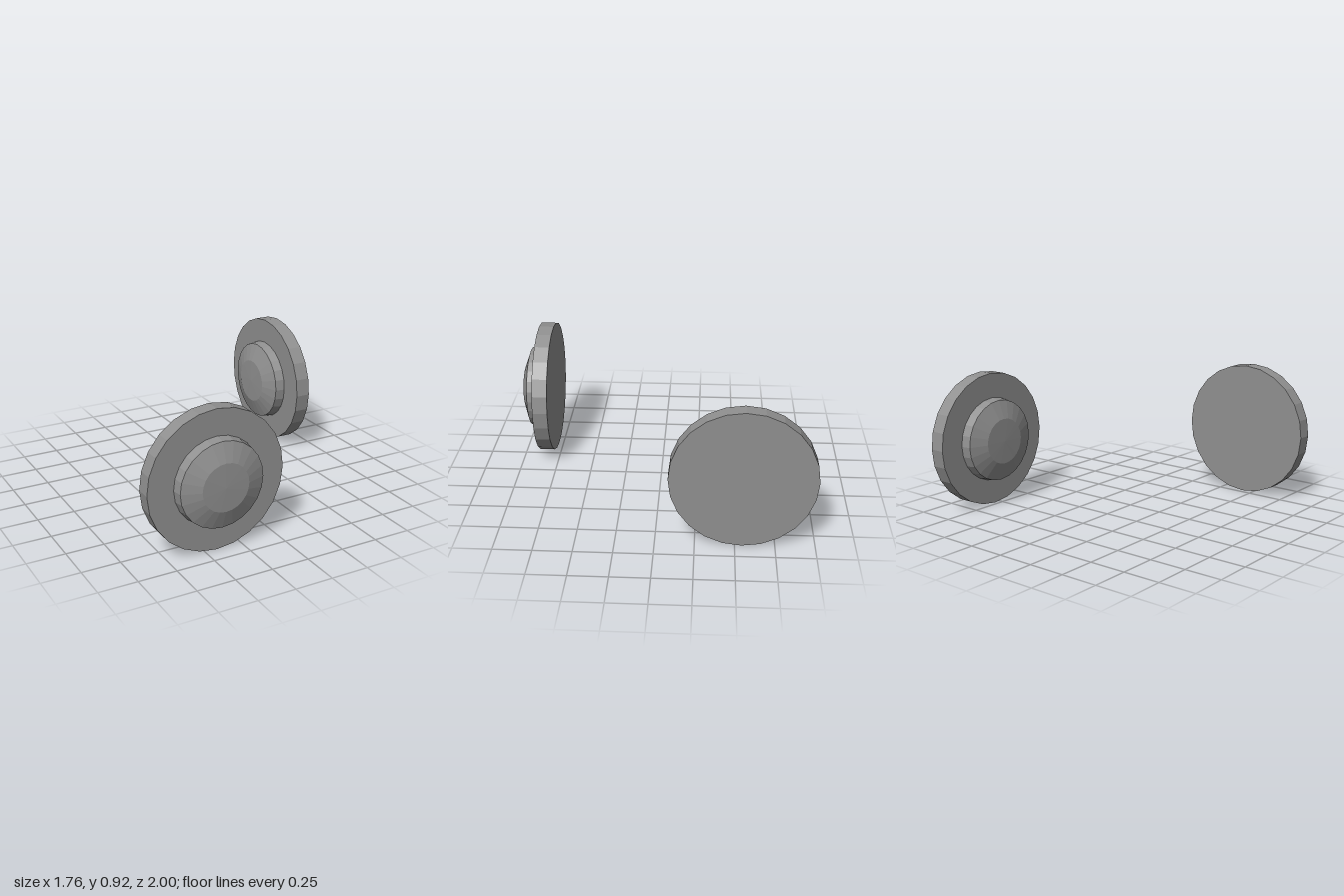
import * as THREE from 'three';

const SIDES = 24;
const RADIUS = 0.459;
const THICKNESS = 0.103;

const material = new THREE.MeshStandardMaterial({ color: 0x909090, flatShading: true });

// One disc with a raised boss; its back lies at z = 0 and it faces +z
function makeDisc(name) {
  const disc = new THREE.Group();
  disc.name = name;

  const plateGeometry = new THREE.CylinderGeometry(RADIUS, RADIUS, THICKNESS, SIDES);
  plateGeometry.translate(0, THICKNESS / 2, 0).rotateX(Math.PI / 2);
  const plate = new THREE.Mesh(plateGeometry, material);
  plate.name = 'plate';

  // Boss profile: steep wall, chamfer, nearly flat cap
  const profile = [
    [0.288, THICKNESS],
    [0.279, 0.17],
    [0.156, 0.214],
    [0, 0.218],
  ].map(([r, h]) => new THREE.Vector2(r, h));
  const bossGeometry = new THREE.LatheGeometry(profile, SIDES);
  bossGeometry.rotateX(Math.PI / 2);
  const boss = new THREE.Mesh(bossGeometry, material);
  boss.name = 'boss';

  disc.add(plate, boss);
  return disc;
}

export function createModel() {
  const model = new THREE.Group();
  model.name = 'discPair';

  // Disc facing forward
  const frontDisc = makeDisc('frontDisc');
  frontDisc.position.set(-0.421, RADIUS, 0.782);

  // Disc at the rear left, facing inward along -x
  const sideDisc = makeDisc('sideDisc');
  sideDisc.rotation.y = -Math.PI / 2;
  sideDisc.position.set(0.88, RADIUS, -0.541);

  model.add(frontDisc, sideDisc);
  return model;
}
